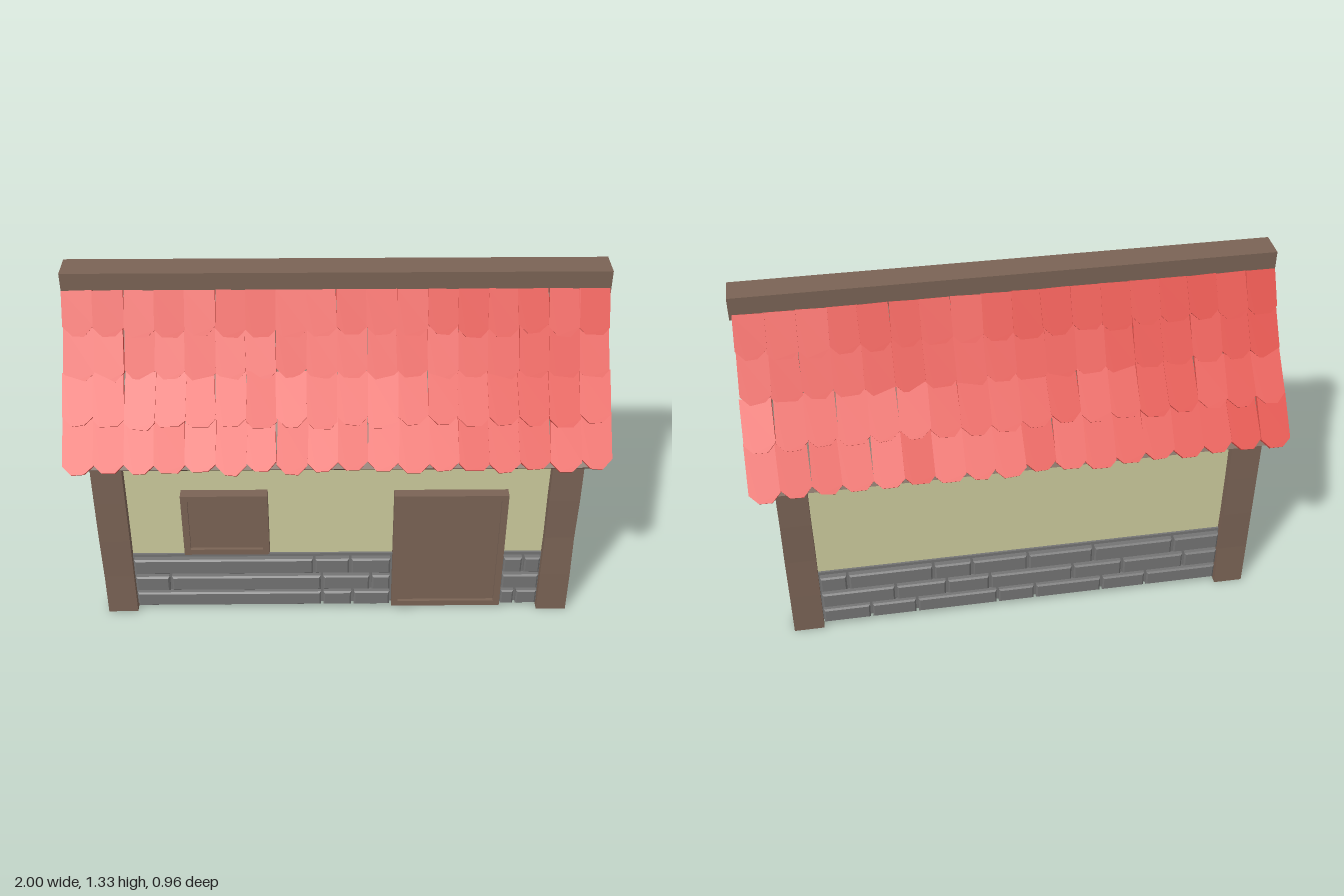
import * as THREE from 'three';
import { mergeGeometries } from 'three/addons/utils/BufferGeometryUtils.js';

const mat = (color) => new THREE.MeshStandardMaterial({ color, flatShading: true });

// Small seeded jitter in -1..1
let seed = 7;
const jitter = () => {
  seed = (seed * 16807) % 2147483647;
  return (seed / 2147483647) * 2 - 1;
};

const polygon = (points) => new THREE.Shape(points.map(([x, y]) => new THREE.Vector2(x, y)));

// Symmetric (z, y) half profile extruded along x, centred
function alongX(half, length) {
  const mirrored = half.map(([z, y]) => [-z, y]).reverse();
  const geo = new THREE.ExtrudeGeometry(polygon([...half, ...mirrored]), { depth: length, bevelEnabled: false });
  return geo.translate(0, 0, -length / 2).rotateY(Math.PI / 2);
}

export function createModel() {
  const house = new THREE.Group();
  house.name = 'house';
  const wood = mat(0x7a6355);
  const plaster = mat(0xcccb9c);
  const stone = mat(0x737373);
  const red = mat(0xe2524b);

  const add = (name, geo, material, parent = house) => {
    const mesh = new THREE.Mesh(geo, material);
    mesh.name = name;
    parent.add(mesh);
    return mesh;
  };
  const box = (name, x0, x1, y0, y1, z0, z1, material = wood) => {
    const geo = new THREE.BoxGeometry(x1 - x0, y1 - y0, z1 - z0);
    geo.translate((x0 + x1) / 2, (y0 + y1) / 2, (z0 + z1) / 2);
    return add(name, geo, material);
  };

  // Plastered body with gables, and its stone base
  add('walls', alongX([[0.37, 0.02], [0.37, 0.74], [0.19, 0.96], [0.04, 1.2]], 1.72), plaster);
  box('stoneBase', -0.867, 0.867, 0.021, 0.275, -0.378, 0.378, stone);

  // One face of the house: local x runs along it, local z points out
  const face = (name, angle, distance) => {
    const group = new THREE.Group();
    group.name = name;
    group.rotation.y = angle;
    group.position.set(Math.sin(angle) * distance, 0, Math.cos(angle) * distance);
    house.add(group);
    return group;
  };
  const front = face('frontFace', 0, 0.37);
  const back = face('backFace', Math.PI, 0.37);
  const right = face('positiveXFace', Math.PI / 2, 0.86);
  const left = face('negativeXFace', -Math.PI / 2, 0.86);

  // Bricks: each course lists its joints, bottom course first
  const rowY = [[0.025, 0.092], [0.105, 0.175], [0.19, 0.262]];
  function bricks(parent, courses, doorway) {
    const parts = [];
    courses.forEach((joints, row) => {
      const [y0, y1] = rowY[row];
      for (let i = 0; i + 1 < joints.length; i++) {
        const a = joints[i] + 0.005, b = joints[i + 1] - 0.005;
        if (doorway && a > doorway[0] - 0.01 && b < doorway[1] + 0.01) continue;
        const e = 0.006;
        const shape = polygon([[a + e, y0 + e], [b - e, y0 + e], [b - e, y1 - e], [a + e, y1 - e]]);
        parts.push(new THREE.ExtrudeGeometry(shape, {
          depth: 0.026, bevelThickness: e, bevelSize: e, bevelSegments: 1,
        }));
      }
    });
    add('bricks', mergeGeometries(parts), stone, parent);
  }
  bricks(front, [
    [-0.79, -0.06, 0.06, 0.21, 0.64, 0.7, 0.79],
    [-0.79, -0.65, -0.06, 0.13, 0.21, 0.64, 0.79],
    [-0.79, -0.09, 0.05, 0.21, 0.64, 0.72, 0.79],
  ], [0.21, 0.64]);
  bricks(back, [
    [-0.79, -0.6, -0.42, -0.1, 0.05, 0.32, 0.5, 0.79],
    [-0.79, -0.5, -0.3, -0.13, 0.2, 0.4, 0.65, 0.79],
    [-0.79, -0.68, -0.35, -0.2, 0.02, 0.28, 0.6, 0.79],
  ]);
  const sideCourses = [
    [-0.305, -0.145, -0.02, 0.315],
    [-0.31, 0.03, 0.15, 0.315],
    [-0.265, 0.075, 0.225, 0.315],
  ];
  bricks(right, sideCourses);
  bricks(left, sideCourses);

  // Frame with an inset panel, for the door and the shuttered windows
  function framed(name, parent, x0, x1, y0, y1, b = 0.025) {
    const group = new THREE.Group();
    group.name = name;
    parent.add(group);
    const shape = polygon([[x0, y0], [x1, y0], [x1, y1], [x0, y1]]);
    shape.holes.push(polygon([[x0 + b, y0 + b], [x0 + b, y1 - b], [x1 - b, y1 - b], [x1 - b, y0 + b]]));
    add('frame', new THREE.ExtrudeGeometry(shape, { depth: 0.04, bevelEnabled: false }), wood, group);
    const panel = new THREE.BoxGeometry(x1 - x0 - b, y1 - y0 - b, 0.03);
    add('panel', panel, wood, group).position.set((x0 + x1) / 2, (y0 + y1) / 2, 0.013);
  }
  framed('door', front, 0.213, 0.64, 0.025, 0.58);
  framed('frontWindow', front, -0.585, -0.26, 0.3, 0.585);
  framed('sideWindow', left, -0.22, 0.17, 0.3, 0.59);

  // Slightly uneven corner posts
  for (const sx of [-1, 1]) {
    for (const sz of [-1, 1]) {
      const geo = new THREE.BoxGeometry(0.115, 0.735, 0.08, 1, 4, 1);
      const p = geo.attributes.position;
      const shift = [0, 1, 2, 3, 4].map(() => jitter() * 0.003);
      for (let i = 0; i < p.count; i++) {
        const s = shift[Math.round((p.getY(i) / 0.735 + 0.5) * 4)];
        p.setX(i, p.getX(i) * (1 + s * 8));
        p.setZ(i, p.getZ(i) + s);
      }
      add('cornerPost', geo, wood).position.set(sx * 0.848, 0.3675, sz * 0.365);
    }
    // Gable timbers
    const x0 = sx > 0 ? 0.84 : -0.9, x1 = x0 + 0.06;
    box('tieBeam', x0, x1, 0.712, 0.795, -0.36, 0.36);
    box('kingPost', x0, x1 - 0.005 * sx, 0.79, 1.21, -0.04, 0.04);
  }

  // Curved roof deck and ridge beam
  const deck = [[0.225, 0.985], [0.435, 0.73], [0.4, 0.7], [0.175, 0.945], [0.03, 1.2]];
  const upper = [[-0.05, 1.25], [0.05, 1.25]];
  const mirror = deck.map(([z, y]) => [-z, y]).reverse();
  const deckGeo = new THREE.ExtrudeGeometry(polygon([...upper, ...deck, ...mirror]), { depth: 1.92, bevelEnabled: false });
  add('roofDeck', deckGeo.translate(0, 0, -0.96).rotateY(Math.PI / 2), wood);
  box('ridgeBeam', -1, 1, 1.24, 1.33, -0.055, 0.055);

  // Overlapping tile courses: top and bottom edge as [z, y]
  const courses = [
    [[0.062, 1.265], [0.15, 1.12]],
    [[0.125, 1.15], [0.237, 0.987]],
    [[0.217, 1.01], [0.355, 0.86]],
    [[0.315, 0.89], [0.462, 0.735]],
  ];
  const count = 18, pitch = 1.98 / count;
  for (const side of [0, 1]) {
    const slope = new THREE.Group();
    slope.name = side ? 'backTiles' : 'frontTiles';
    slope.rotation.y = side * Math.PI;
    house.add(slope);
    courses.forEach(([top, bottom]) => {
      const up = new THREE.Vector3(0, top[1] - bottom[1], top[0] - bottom[0]);
      const length = up.length();
      up.normalize();
      const across = new THREE.Vector3(1, 0, 0);
      const normal = across.clone().cross(up);
      const tiles = [];
      for (let i = 0; i < count; i++) {
        const w = pitch / 2 + 0.001, c = 0.03 + jitter() * 0.006, drop = jitter() * 0.008;
        const shape = polygon([
          [-w, length], [-w, c + drop], [-w + c, drop], [w - c, drop + jitter() * 0.004], [w, c + drop], [w, length],
        ]);
        const geo = new THREE.ExtrudeGeometry(shape, { depth: 0.016, bevelEnabled: false });
        geo.rotateY(jitter() * 0.05).rotateZ(jitter() * 0.03);
        geo.applyMatrix4(new THREE.Matrix4().makeBasis(across, up, normal));
        tiles.push(geo.translate(-0.99 + pitch * (i + 0.5), bottom[1], bottom[0]));
      }
      add('tileCourse', mergeGeometries(tiles), red, slope);
    });
  }
  return house;
}
